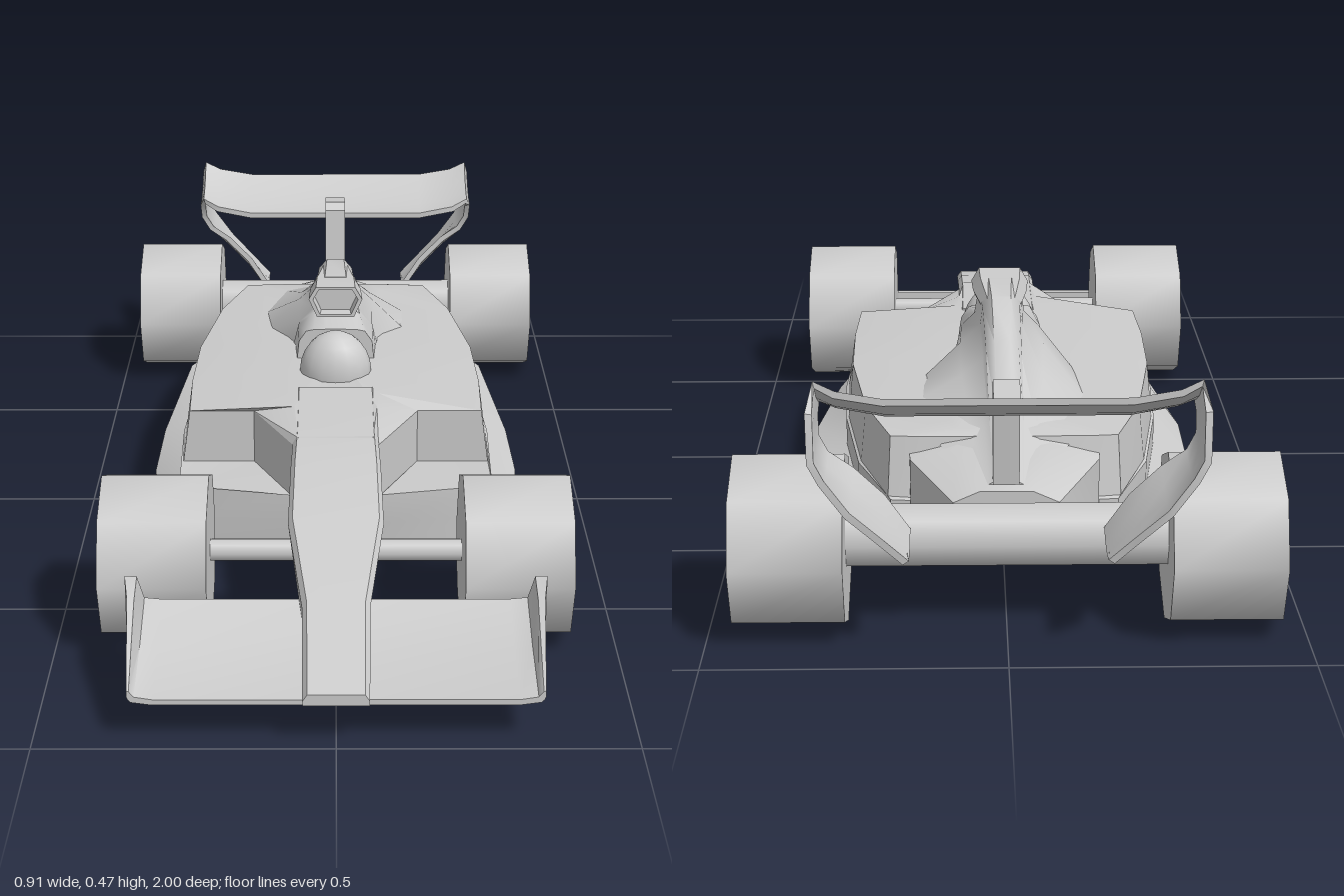
import * as THREE from 'three';
import { toCreasedNormals } from 'three/addons/utils/BufferGeometryUtils.js';

const material = new THREE.MeshStandardMaterial({ color: 0xcccccc, side: THREE.DoubleSide });

// Skin a closed solid over rings of [x, y, z] points, with fan caps, facing outward.
function loft(rings, crease = 0.6) {
  const n = rings[0].length, v = rings.flat().map((p) => new THREE.Vector3(...p)), tris = [];
  for (let r = 0; r < rings.length - 1; r++) {
    for (let i = 0; i < n; i++) {
      const a = r * n + i, b = r * n + (i + 1) % n;
      tris.push([a, b, b + n], [a, b + n, a + n]);
    }
  }
  for (const [r, first] of [[0, true], [rings.length - 1, false]]) {
    const c = new THREE.Vector3();
    for (let i = 0; i < n; i++) c.addScaledVector(v[r * n + i], 1 / n);
    const k = v.push(c) - 1;
    for (let i = 0; i < n; i++) {
      const a = r * n + i, b = r * n + (i + 1) % n;
      tris.push(first ? [b, a, k] : [a, b, k]);
    }
  }
  const cross = new THREE.Vector3();
  const volume = tris.reduce((s, [a, b, c]) => s + v[a].dot(cross.crossVectors(v[b], v[c])), 0);
  const order = volume < 0 ? tris.map(([a, b, c]) => [a, c, b]) : tris;
  const g = new THREE.BufferGeometry().setFromPoints(order.flat().map((i) => v[i]));
  return toCreasedNormals(g, crease);
}

// Close a half outline (x > 0) by mirroring it.
const mirror = (pts) => [...pts, ...pts.map(([x, y, z]) => [-x, y, z]).reverse()];
// Mirror a list of half-span stations to the full span.
const span = (stations) => [
  ...stations.map((s) => s.map(([x, y, z]) => [-x, y, z])).reverse(), ...stations];

// Thin curved sheet: each station is a row of chord points, thickened across the sweep.
function sheet(stations, t) {
  return loft(stations.map((s, i) => {
    const a = stations[Math.max(0, i - 1)][0], b = stations[Math.min(stations.length - 1, i + 1)][0];
    const dx = b[0] - a[0], dy = b[1] - a[1], l = Math.hypot(dx, dy) || 1;
    const back = s.map(([x, y, z]) => [x + (dy / l) * t, y - (dx / l) * t, z]).reverse();
    return [...s, ...back];
  }), 0.7);
}

export function createModel() {
  const car = new THREE.Group();
  car.name = 'racingCar';
  const add = (name, geometry, parent = car) => {
    const m = new THREE.Mesh(geometry, material);
    m.name = name;
    parent.add(m);
    return m;
  };

  // Floor, undercut, sidepods and deck as stacked plan outlines
  const floorY = (z) => 0.051 - 0.037 * z;
  const edge = [[0.1, 0.33], [0.29, 0.295], [0.34, 0.29], [0.37, 0], [0.365, -0.2], [0.33, -0.56], [0.28, -0.66], [0.1, -0.67]];
  const waist = [[0.085, 0.34], [0.28, 0.3], [0.3, 0.295], [0.31, 0], [0.3, -0.2], [0.265, -0.45], [0.2, -0.64], [0.12, -0.65]];
  const pod = [[0.08, 0.34], [0.16, 0.165], [0.3, 0.165], [0.305, 0], [0.295, -0.2], [0.26, -0.45], [0.205, -0.63], [0.15, -0.64]];
  const podTop = [[0.08, 0.34], [0.16, 0.165], [0.285, 0.165], [0.29, 0], [0.285, -0.2], [0.25, -0.45], [0.2, -0.615], [0.15, -0.62]];
  const deck = [[0.07, 0.34], [0.08, 0.2], [0.085, 0.13], [0.1, 0], [0.1, -0.2], [0.1, -0.4], [0.1, -0.55], [0.08, -0.6]];
  const level = (outline, y) => mirror(outline.map(([x, z]) => [x, typeof y === 'function' ? y(z) : y, z]));
  add('bodyAndSidepods', loft([
    level(edge, floorY),
    level(edge, (z) => floorY(z) + 0.014),
    level(waist, 0.1),
    level(waist, (z) => (z > 0.25 ? 0.16 : 0.152)),
    level(pod, 0.155),
    level(podTop, 0.262),
    level(deck, (z) => (z > 0.3 ? 0.277 : z > -0.3 ? 0.285 : 0.27)),
  ], 0.45));

  // Nose: z, top half-width, bottom half-width, top, bottom
  const nose = [
    [1.0, 0.055, 0.055, 0.1, 0.08], [0.8, 0.058, 0.055, 0.168, 0.105], [0.6, 0.085, 0.068, 0.232, 0.143],
    [0.43, 0.083, 0.07, 0.268, 0.15], [0.3, 0.08, 0.07, 0.28, 0.155], [0.1, 0.08, 0.07, 0.287, 0.16]];
  add('nose', loft(nose.map(([z, a, b, t, u]) => mirror([[a - 0.008, t, z], [a, t - 0.012, z], [b, u, z]])), 0.5));

  // Gearbox tail between the rear wheels
  add('tail', loft([[-0.55, 0.17, 0.255, 0.09], [-0.65, 0.165, 0.25, 0.09], [-0.78, 0.09, 0.22, 0.11]]
    .map(([z, w, t, b]) => mirror([[w * 0.5, t, z], [w, t - 0.02, z], [w, b, z]]))));

  // Engine cover: ridge on wide shoulders
  const cover = [
    [-0.075, [0.08, 0.27], [0.075, 0.32], [0.06, 0.342], [0.045, 0.345], [0.02, 0.346]],
    [-0.155, [0.085, 0.27], [0.078, 0.325], [0.05, 0.352], [0.04, 0.36], [0.02, 0.365]],
    [-0.17, [0.09, 0.27], [0.075, 0.33], [0.046, 0.36], [0.042, 0.4], [0.022, 0.427]],
    [-0.3, [0.15, 0.265], [0.078, 0.335], [0.04, 0.37], [0.035, 0.405], [0.018, 0.425]],
    [-0.42, [0.155, 0.262], [0.075, 0.31], [0.036, 0.34], [0.03, 0.36], [0.015, 0.375]],
    [-0.6, [0.12, 0.255], [0.06, 0.265], [0.035, 0.272], [0.026, 0.28], [0.013, 0.285]],
    [-0.76, [0.07, 0.2], [0.05, 0.215], [0.03, 0.225], [0.02, 0.23], [0.01, 0.235]]];
  add('engineCover', loft(cover.map(([z, ...p]) => mirror(p.map(([x, y]) => [x, y, z]))), 0.8));

  // Air intake with recessed mouth
  const hex = (z, s) => mirror([[0.04, 0.032], [0.055, 0.006], [0.038, -0.032]].map(([x, y]) => [x * s, 0.396 + y * s, z]));
  add('airIntake', loft([hex(-0.28, 0.65), hex(-0.17, 0.95), hex(-0.1, 1), hex(-0.1, 0.84), hex(-0.125, 0.78)]));

  // Driver's helmet
  const helmet = add('helmet', new THREE.SphereGeometry(1, 16, 12));
  helmet.scale.set(0.072, 0.082, 0.057);
  helmet.position.set(0, 0.285, -0.003);

  // Front wing: wedge that curls up into the end plates
  add('frontWing', loft(span([
    [[0.3, 0.07, 0.98], [0.3, 0.08, 0.98], [0.3, 0.1, 0.85], [0.3, 0.142, 0.74], [0.3, 0.07, 0.74]],
    [[0.335, 0.075, 0.98], [0.33, 0.085, 0.98], [0.33, 0.11, 0.85], [0.33, 0.145, 0.74], [0.34, 0.075, 0.74]],
    [[0.34, 0.08, 0.98], [0.338, 0.095, 0.98], [0.34, 0.18, 0.82], [0.342, 0.185, 0.74], [0.35, 0.09, 0.74]],
    [[0.342, 0.085, 0.98], [0.342, 0.096, 0.98], [0.352, 0.182, 0.82], [0.363, 0.186, 0.74], [0.356, 0.1, 0.74]],
  ])));

  // Rear wing: one ribbon through plane, rounded tips and swept side plates
  const ribbon = [
    [0.2, 0.38, -0.8, 0.437, -0.935], [0.275, 0.395, -0.8, 0.45, -0.935], [0.31, 0.41, -0.815, 0.467, -0.935],
    [0.32, 0.385, -0.85, 0.43, -0.985], [0.318, 0.35, -0.865, 0.35, -1.0], [0.3, 0.318, -0.87, 0.315, -1.0],
    [0.26, 0.29, -0.87, 0.26, -1.0], [0.21, 0.24, -0.865, 0.21, -0.985], [0.17, 0.18, -0.86, 0.17, -0.975]];
  add('rearWing', sheet(span(ribbon.map(([x, y0, z0, y1, z1]) => [0, 0.33, 0.67, 1].map((k) => [
    x, y0 + (y1 - y0) * k - 0.045 * k * (1 - k), z0 + (z1 - z0) * k]))), 0.012));

  // Rear wing pylon
  const hook = new THREE.Shape([[-0.73, 0.23], [-0.75, 0.4], [-0.77, 0.415], [-0.845, 0.405], [-0.845, 0.38], [-0.79, 0.38], [-0.775, 0.23]]
    .map(([z, y]) => new THREE.Vector2(z, y)));
  const pylon = new THREE.ExtrudeGeometry(hook, { depth: 0.045, bevelEnabled: false });
  add('wingPylon', pylon.translate(0, 0, -0.0225).rotateY(-Math.PI / 2));

  // Eight-sided wheels with recessed rims, and their axles
  for (const [end, z, inner, width, axleRadius] of [['front', 0.57, 0.225, 0.19, 0.021], ['rear', -0.81, 0.268, 0.187, 0.056]]) {
    const profile = [[0, 0], [0.15, 0], [0.15, width], [0.122, width], [0.118, width - 0.012], [0, width - 0.012]];
    const wheel = toCreasedNormals(new THREE.LatheGeometry(profile.map((p) => new THREE.Vector2(...p)), 8), 0.9);
    for (const side of [1, -1]) {
      const m = add(`${end}Wheel${side > 0 ? 'Left' : 'Right'}`, wheel);
      m.rotation.z = -side * Math.PI / 2;
      m.position.set(side * inner, 0.15, z);
    }
    const axle = add(`${end}Axle`, new THREE.CylinderGeometry(axleRadius, axleRadius, inner * 2 + 0.02, 8));
    axle.rotation.z = Math.PI / 2;
    axle.position.set(0, 0.155, z);
  }
  return car;
}
